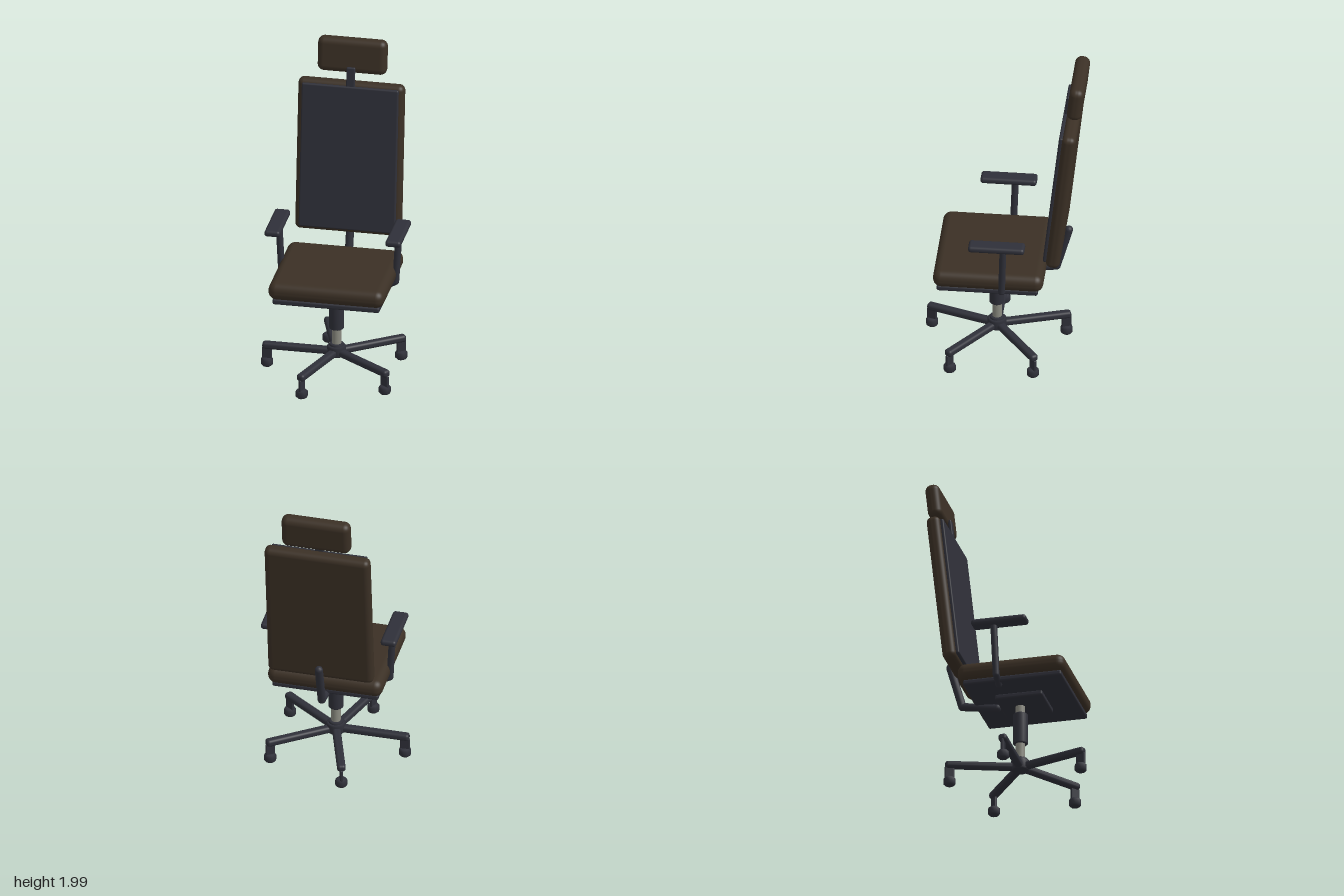
import * as THREE from 'three';
import { RoundedBoxGeometry } from 'three/addons/geometries/RoundedBoxGeometry.js';

const CX = 0.022; // centre line of the seat and column
const CZ = 0.055; // column axis in z
const TILT = -0.11; // backward lean of the back

export function createModel() {
  const chair = new THREE.Group();
  chair.name = 'officeChair';

  const material = (name, color) => {
    const m = new THREE.MeshStandardMaterial({ color });
    m.name = name;
    return m;
  };
  const brown = material('brownUpholstery', 0x3b3025);
  const dark = material('darkPlastic', 0x2f3039);
  const steel = material('greySteel', 0x8a8a80);

  const add = (name, geometry, mat, pos, parent = chair) => {
    const mesh = new THREE.Mesh(geometry, mat);
    mesh.name = name;
    mesh.position.set(...pos);
    parent.add(mesh);
    return mesh;
  };
  const block = (name, size, radius, mat, pos, parent) =>
    add(name, new RoundedBoxGeometry(...size, 4, radius), mat, pos, parent);

  // Round-ended rods joining a list of points
  const rod = (name, points, radius) => {
    const group = new THREE.Group();
    group.name = name;
    for (let i = 0; i < points.length - 1; i++) {
      const a = new THREE.Vector3(...points[i]);
      const d = new THREE.Vector3(...points[i + 1]).sub(a);
      const g = new THREE.CapsuleGeometry(radius, d.length(), 4, 14);
      const mid = a.addScaledVector(d, 0.5);
      const mesh = add(name + 'Section', g, dark, mid.toArray(), group);
      mesh.quaternion.setFromUnitVectors(new THREE.Vector3(0, 1, 0), d.normalize());
    }
    chair.add(group);
  };

  // Chamfered upright cylinder, standing on its base
  const drum = (name, radius, height, bevel, mat, pos, parent, sides = 20) => {
    const profile = [
      [0, 0], [radius - bevel, 0], [radius, bevel],
      [radius, height - bevel], [radius - bevel, height], [0, height],
    ].map(([x, y]) => new THREE.Vector2(x, y));
    return add(name, new THREE.LatheGeometry(profile, sides), mat, pos, parent);
  };

  // Seat cushion with its plate and mechanism
  block('seatCushion', [0.714, 0.11, 0.67], 0.05, brown, [CX, 0.655, 0.078]);
  block('seatPlate', [0.66, 0.035, 0.615], 0.012, dark, [CX, 0.587, 0.083]);
  block('seatMechanism', [0.285, 0.035, 0.295], 0.012, dark, [CX, 0.557, 0.078]);

  // Leaning back pad, front panel, headrest and its bracket
  const leaning = [
    block('backPad', [0.655, 0.962, 0.085], 0.035, brown, [CX, 1.248, -0.363]),
    block('backPanel', [0.597, 0.915, 0.026], 0.01, dark, [CX, 1.256, -0.314]),
    block('headrest', [0.427, 0.218, 0.09], 0.04, brown, [CX, 1.888, -0.44]),
    block('headrestBracket', [0.053, 0.2, 0.022], 0.008, dark, [CX, 1.73, -0.372]),
  ];
  for (const mesh of leaning) mesh.rotation.x = TILT;

  // Bent bar carrying the back
  rod('backSupport', [[CX, 0.547, -0.09], [CX, 0.58, -0.307], [CX, 0.848, -0.382]], 0.025);

  // Armrests
  for (const [side, s] of [['right', -1], ['left', 1]]) {
    block(side + 'ArmPad', [0.097, 0.04, 0.342], 0.018, dark, [CX + s * 0.373, 0.941, 0.02]);
    rod(side + 'ArmSupport', [
      [CX + s * 0.37, 0.92, -0.018],
      [CX + s * 0.352, 0.605, -0.008],
      [CX + s * 0.285, 0.567, -0.008],
    ], 0.021);
  }

  // Gas lift column and hub
  add('liftColumn', new THREE.CylinderGeometry(0.029, 0.029, 0.4, 20), steel, [CX, 0.35, CZ]);
  drum('columnSleeve', 0.046, 0.2, 0.006, dark, [CX, 0.29, CZ]);
  drum('hub', 0.058, 0.068, 0.008, dark, [CX, 0.112, CZ]);
  drum('hubCollar', 0.045, 0.03, 0.006, dark, [CX, 0.163, CZ]);

  // Five-legged base, one leg pointing to the model's right
  for (let i = 0; i < 5; i++) {
    const leg = new THREE.Group();
    leg.name = 'baseLeg' + (i + 1);
    leg.position.set(CX, 0, CZ);
    leg.rotation.y = Math.PI + (i * 2 * Math.PI) / 5;
    chair.add(leg);
    block('legBeam', [0.44, 0.045, 0.052], 0.018, dark, [0.237, 0.138, 0], leg);
    block('casterFork', [0.06, 0.08, 0.018], 0.006, dark, [0.43, 0.085, 0], leg);
    drum('casterWheel', 0.037, 0.053, 0.01, dark, [0.43, 0.002, 0], leg, 10);
  }
  return chair;
}
